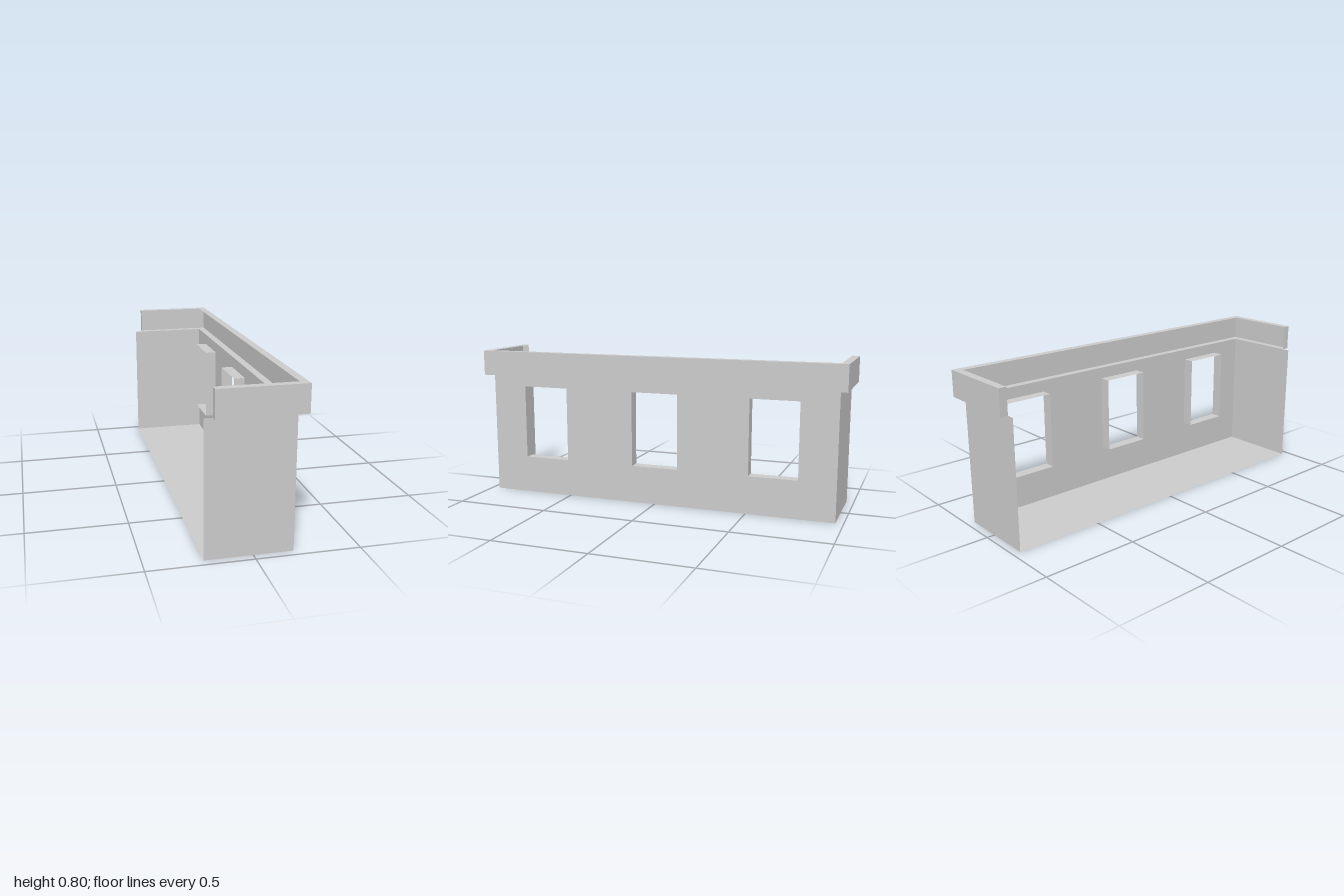
import * as THREE from 'three';

const material = new THREE.MeshStandardMaterial({ color: 0xcccccc, side: THREE.DoubleSide, flatShading: true });

// Body and trim extents; the left side (-x) and the top are open.
const BACK = -0.23, WALL = 0.19, HALF = 0.96, TOP = 0.66;
const TRIM_BACK = -0.19, TRIM_OUT = 0.23, TRIM_HALF = 1.0, TRIM_TOP = 0.795;
const WIN_W = 0.256, WIN_LOW = 0.2, WIN_HIGH = 0.6, REVEAL = 0.06;

function add(parent, name, geometry) {
  const mesh = new THREE.Mesh(geometry, material);
  mesh.name = name;
  parent.add(mesh);
  return mesh;
}

// Thin sheets given by their extents, one for each axis they face.
function sheetX(parent, name, x, y0, y1, z0, z1) {
  const g = new THREE.PlaneGeometry(z1 - z0, y1 - y0).rotateY(Math.PI / 2);
  return add(parent, name, g.translate(x, (y0 + y1) / 2, (z0 + z1) / 2));
}
function sheetY(parent, name, y, x0, x1, z0, z1) {
  const g = new THREE.PlaneGeometry(x1 - x0, z1 - z0).rotateX(-Math.PI / 2);
  return add(parent, name, g.translate((x0 + x1) / 2, y, (z0 + z1) / 2));
}
function sheetZ(parent, name, z, x0, x1, y0, y1) {
  const g = new THREE.PlaneGeometry(x1 - x0, y1 - y0);
  return add(parent, name, g.translate((x0 + x1) / 2, (y0 + y1) / 2, z));
}

function polygon(points) {
  return points.map(([a, b]) => new THREE.Vector2(a, b));
}

export function createModel() {
  const model = new THREE.Group();
  model.name = 'buildingFacade';

  // Body: floor, end walls and the wall with window openings
  const body = new THREE.Group();
  body.name = 'body';
  model.add(body);
  sheetY(body, 'floor', 0, BACK, WALL, -HALF, HALF);
  for (const s of [-1, 1]) sheetZ(body, 'endWall', s * HALF, BACK, WALL, 0, TOP);

  const wall = new THREE.Shape(polygon([[-HALF, 0], [HALF, 0], [HALF, TOP], [-HALF, TOP]]));
  for (const z of [-0.64, 0, 0.64]) {
    const z0 = z - WIN_W / 2, z1 = z + WIN_W / 2;
    wall.holes.push(new THREE.Path(polygon([[z0, WIN_LOW], [z0, WIN_HIGH], [z1, WIN_HIGH], [z1, WIN_LOW]])));

    // Window reveal reaching into the body
    const reveal = new THREE.Group();
    reveal.name = 'windowReveal';
    model.add(reveal);
    for (const y of [WIN_LOW, WIN_HIGH]) sheetY(reveal, y === WIN_LOW ? 'sill' : 'lintel', y, WALL - REVEAL, WALL, z0, z1);
    for (const side of [z0, z1]) sheetZ(reveal, 'jamb', side, WALL - REVEAL, WALL, WIN_LOW, WIN_HIGH);
  }
  add(body, 'windowWall', new THREE.ShapeGeometry(wall).rotateY(Math.PI / 2).translate(WALL, 0, 0));

  // Roof trim: a U-shaped channel, hollow towards the inside
  const trim = new THREE.Group();
  trim.name = 'roofTrim';
  model.add(trim);
  sheetX(trim, 'trimFace', TRIM_OUT, TOP, TRIM_TOP, -TRIM_HALF, TRIM_HALF);
  for (const s of [-1, 1]) {
    sheetZ(trim, 'trimEndFace', s * TRIM_HALF, TRIM_BACK, TRIM_OUT, TOP, TRIM_TOP);
    const [z0, z1] = s > 0 ? [HALF, TRIM_HALF] : [-TRIM_HALF, -HALF];
    sheetX(trim, 'trimCap', TRIM_BACK, TOP, TRIM_TOP, z0, z1);
  }
  const flange = new THREE.Shape(polygon([
    [TRIM_BACK, -TRIM_HALF], [TRIM_OUT, -TRIM_HALF], [TRIM_OUT, TRIM_HALF], [TRIM_BACK, TRIM_HALF],
    [TRIM_BACK, HALF], [WALL, HALF], [WALL, -HALF], [TRIM_BACK, -HALF],
  ]));
  add(trim, 'lowerFlange', new THREE.ShapeGeometry(flange).rotateX(Math.PI / 2).translate(0, TOP, 0));
  add(trim, 'upperFlange', new THREE.ShapeGeometry(flange).rotateX(-Math.PI / 2).translate(0, TRIM_TOP, 0));

  return model;
}
